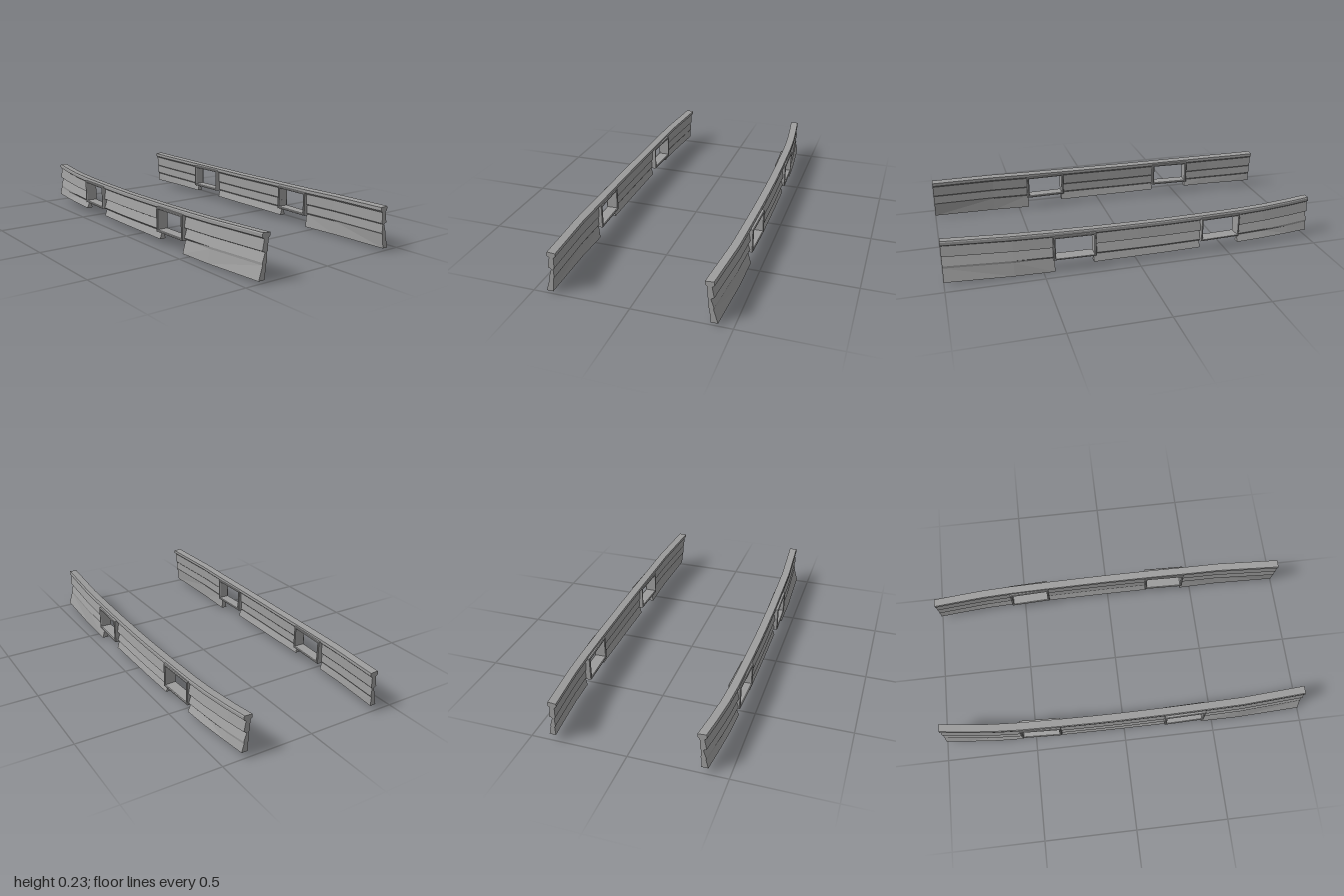
import * as THREE from 'three';

// Hull stations: z, centre x of rail, top y, bottom y, flare of the foot, depth of the lowest lap
const stations = [
  [1, 0.388, 0.233, 0.015, 0.04, 0.1],
  [0.65, 0.41, 0.225, 0.006, 0.031, 0.15],
  [0.44, 0.413, 0.22, 0.001, 0.026, 1],
  [0.235, 0.416, 0.217, 0.028, 0.021, 1],
  [0, 0.417, 0.215, 0.029, 0.02, 1],
  [-0.15, 0.416, 0.214, 0.029, 0.02, 1],
  [-0.35, 0.413, 0.215, 0.031, 0.021, 1],
  [-0.57, 0.408, 0.217, 0.032, 0.024, 1],
  [-0.72, 0.4, 0.22, 0.034, 0.026, 0.8],
  [-0.88, 0.384, 0.225, 0.036, 0.028, 0.2],
  [-1, 0.37, 0.231, 0.038, 0.03, 0.1],
];

// Cross-section of the top rail, outer side first
const railSection = ([, x, top]) => [
  [x + 0.019, top], [x + 0.022, top - 0.006], [x + 0.021, top - 0.022],
  [x + 0.01, top - 0.03], [x - 0.012, top - 0.03],
  [x - 0.023, top - 0.02], [x - 0.023, top - 0.003],
];

// Cross-section of the overlapping planks, outer side first
const plankSection = ([, x, top, bottom, flare, lap]) => [
  [x + 0.01, top - 0.026],
  [x + 0.021, top - 0.084], [x + 0.005, top - 0.092],
  [x + 0.02, top - 0.137], [x + 0.02 - 0.013 * lap, top - 0.149],
  [x + flare, bottom], [x + flare - 0.034, bottom],
  [x - 0.002, top - 0.145], [x - 0.007, top - 0.138],
  [x - 0.005, top - 0.092], [x - 0.011, top - 0.086],
  [x - 0.012, top - 0.026],
];

// Joins cross-sections along the hull and closes both ends
function loft(list, section, side) {
  const rings = list.map(s => section(s).map(([x, y]) => new THREE.Vector3(x * side, y, s[0])));
  const positions = [];
  const tri = (a, b, c) => {
    for (const v of side > 0 ? [a, b, c] : [a, c, b]) positions.push(v.x, v.y, v.z);
  };
  const n = rings[0].length;
  for (let i = 0; i < rings.length - 1; i++) {
    for (let j = 0; j < n; j++) {
      const k = (j + 1) % n;
      const a = rings[i][j], b = rings[i][k], c = rings[i + 1][k], d = rings[i + 1][j];
      tri(a, b, c);
      tri(a, c, d);
    }
  }
  [rings[0], rings[rings.length - 1]].forEach((ring, end) => {
    const outline = ring.map(v => new THREE.Vector2(v.x * side, v.y));
    for (const f of THREE.ShapeUtils.triangulateShape(outline, [])) {
      let [a, b, c] = f.map(i => ring[i]);
      // Turn each cap triangle to face away from the run of planks
      const area = (b.x - a.x) * (c.y - a.y) - (b.y - a.y) * (c.x - a.x);
      if ((area * side > 0) !== (end === 0)) [b, c] = [c, b];
      tri(a, b, c);
    }
  });
  const geometry = new THREE.BufferGeometry();
  geometry.setAttribute('position', new THREE.Float32BufferAttribute(positions, 3));
  geometry.computeVertexNormals();
  return geometry;
}

// Square port surround: a rectangle with a hole, extruded through the wall
function portGeometry() {
  const w = 0.112, h = 0.066, t = 0.012;
  const shape = new THREE.Shape([[-w, -h], [w, -h], [w, h], [-w, h]].map(p => new THREE.Vector2(...p)));
  const iw = w - t, ih = h - t;
  shape.holes.push(new THREE.Path([[-iw, -ih], [-iw, ih], [iw, ih], [iw, -ih]].map(p => new THREE.Vector2(...p))));
  const geometry = new THREE.ExtrudeGeometry(shape, {
    depth: 0.058, bevelEnabled: true, bevelThickness: 0.004, bevelSize: 0.003,
    bevelOffset: -0.003, bevelSegments: 1,
  });
  geometry.translate(0, 0, -0.029);
  geometry.rotateY(Math.PI / 2);
  return geometry;
}

export function createModel() {
  const model = new THREE.Group();
  model.name = 'bulwarks';
  const grey = new THREE.MeshStandardMaterial({ color: 0x9c9c9c, flatShading: true });
  grey.name = 'grey';
  const add = (parent, geometry, name) => {
    const mesh = new THREE.Mesh(geometry, grey);
    mesh.name = name;
    parent.add(mesh);
    return mesh;
  };

  const frame = portGeometry();
  for (const side of [1, -1]) {
    const wall = new THREE.Group();
    wall.name = side > 0 ? 'leftBulwark' : 'rightBulwark';
    model.add(wall);

    add(wall, loft(stations, railSection, side), 'topRail');

    // Planked panels, leaving gaps for the ports
    add(wall, loft(stations.slice(0, 3), plankSection, side), 'frontPlanks');
    add(wall, loft(stations.slice(3, 7), plankSection, side), 'middlePlanks');
    add(wall, loft(stations.slice(7), plankSection, side), 'backPlanks');

    // Ports turned to follow the curve of the wall
    for (const [name, x, y, z, turn] of [
      ['frontPort', 0.418, 0.135, 0.335, -0.025],
      ['backPort', 0.409, 0.136, -0.461, 0.04],
    ]) {
      const port = add(wall, frame, name);
      port.position.set(x * side, y, z);
      port.rotation.y = turn * side;
    }
  }
  return model;
}
